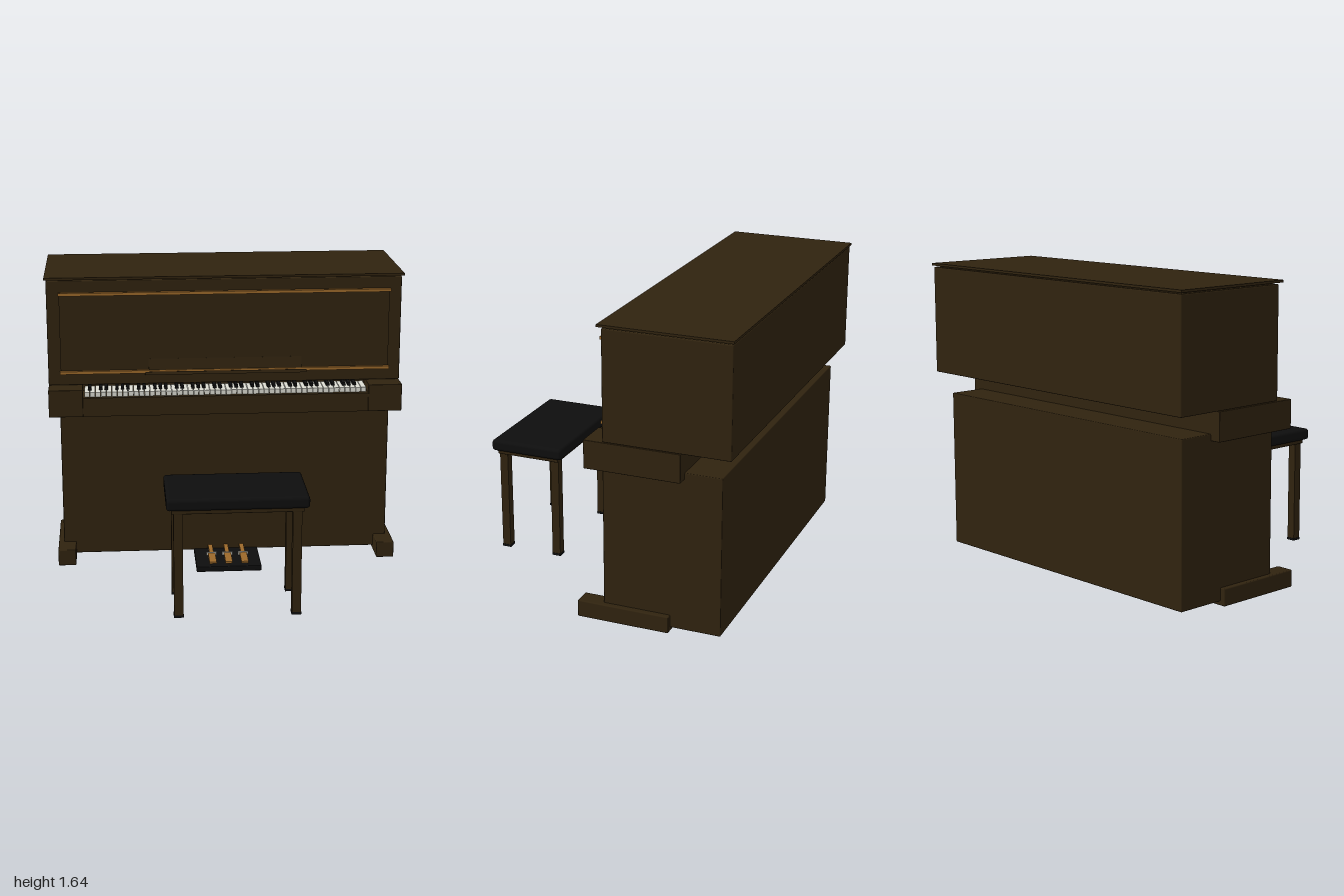
import * as THREE from 'three';
import { RoundedBoxGeometry } from 'three/addons/geometries/RoundedBoxGeometry.js';

const mat = (name, color) => {
  const m = new THREE.MeshStandardMaterial({ color });
  m.name = name;
  return m;
};

export function createModel() {
  const wood = mat('dark wood', 0x30230f);
  const black = mat('black', 0x0e0e0e);
  const ivory = mat('ivory', 0xdcdcd2);
  const brass = mat('brass', 0x9c692a);

  const root = new THREE.Group();
  root.name = 'pianoWithBench';
  const piano = new THREE.Group();
  piano.name = 'piano';
  const bench = new THREE.Group();
  bench.name = 'bench';
  root.add(piano, bench);

  // Box given by its limits on each axis, with an optional rounded edge
  function box(parent, name, material, [x0, x1], [y0, y1], [z0, z1], r = 0) {
    const w = x1 - x0, h = y1 - y0, d = z1 - z0;
    const geo = r ? new RoundedBoxGeometry(w, h, d, 2, r) : new THREE.BoxGeometry(w, h, d);
    const mesh = new THREE.Mesh(geo, material);
    mesh.name = name;
    mesh.position.set((x0 + x1) / 2, (y0 + y1) / 2, (z0 + z1) / 2);
    parent.add(mesh);
    return mesh;
  }

  // Case
  box(piano, 'lid', wood, [-1, 1], [1.623, 1.636], [-0.826, -0.114]);
  box(piano, 'lidSpacer', wood, [-0.96, 0.96], [1.61, 1.625], [-0.79, -0.16]);
  box(piano, 'upperCase', wood, [-0.99, 0.99], [1.022, 1.615], [-0.82, -0.135], 0.006);
  box(piano, 'lowerCase', wood, [-0.93, 0.93], [0.028, 0.9], [-0.755, -0.108], 0.005);

  // Front panel with brass mouldings
  box(piano, 'frontPanel', wood, [-0.92, 0.92], [1.1, 1.54], [-0.136, -0.12]);
  for (const y of [1.1, 1.544])
    box(piano, 'moulding', brass, [-0.925, 0.925], [y - 0.008, y + 0.008], [-0.125, -0.1]);

  // Key bed, rail, and the cheeks at both ends of the keyboard
  box(piano, 'keyBed', wood, [-0.81, 0.81], [0.865, 0.972], [-0.555, -0.035]);
  box(piano, 'keyBack', wood, [-0.81, 0.81], [0.965, 1.022], [-0.555, -0.2]);
  for (const s of [-1, 1]) {
    const xs = (a, b) => (s > 0 ? [a, b] : [-b, -a]);
    box(piano, 'cheek', wood, xs(0.8, 0.99), [0.865, 1.02], [-0.555, -0.03], 0.004);
    box(piano, 'foot', wood, xs(0.86, 0.96), [0.005, 0.098], [-0.48, 0.03], 0.006);
  }

  // Keyboard: 52 white keys from A, with black keys between
  const keys = new THREE.Group();
  keys.name = 'keyboard';
  piano.add(keys);
  const pitch = 1.584 / 52;
  for (let i = 0; i < 52; i++) {
    const x = -0.792 + i * pitch;
    box(keys, 'whiteKey', ivory, [x + 0.0015, x + pitch - 0.0015], [0.972, 0.998], [-0.2, -0.06]);
    if (i < 51 && ![1, 4].includes(i % 7))
      box(keys, 'blackKey', black, [x + pitch - 0.009, x + pitch + 0.009], [0.99, 1.014], [-0.2, -0.106]);
  }

  // Music stand: leaning board on a tilted shelf
  const board = box(piano, 'musicBoard', wood, [-0.43, 0.43], [1.085, 1.17], [-0.122, -0.112]);
  board.rotation.x = -0.17;
  const shelf = box(piano, 'musicShelf', wood, [-0.45, 0.45], [1.084, 1.102], [-0.125, -0.06]);
  shelf.rotation.x = -0.25;

  // Pedals on their base
  box(piano, 'pedalBase', black, [-0.183, 0.183], [0.004, 0.035], [-0.11, 0.182], 0.005);
  for (const x of [-0.09, 0, 0.09]) {
    box(piano, 'pedal', brass, [x - 0.02, x + 0.02], [0.05, 0.06], [0.03, 0.175]);
    box(piano, 'pedalArm', brass, [x - 0.012, x + 0.012], [0.046, 0.058], [-0.11, 0.03]);
    box(piano, 'pedalCollar', ivory, [x - 0.029, x + 0.029], [0.045, 0.063], [0.024, 0.036]);
  }

  // Bench
  box(bench, 'cushion', black, [-0.372, 0.372], [0.6, 0.664], [0.4, 0.828], 0.018);
  box(bench, 'apron', wood, [-0.345, 0.345], [0.576, 0.605], [0.43, 0.803], 0.004);
  for (const x of [-0.31, 0.31])
    for (const z of [0.456, 0.772]) {
      box(bench, 'leg', wood, [x - 0.024, x + 0.024], [0.012, 0.58], [z - 0.024, z + 0.024]);
      box(bench, 'legTip', black, [x - 0.026, x + 0.026], [0, 0.013], [z - 0.026, z + 0.026]);
    }
  return root;
}
